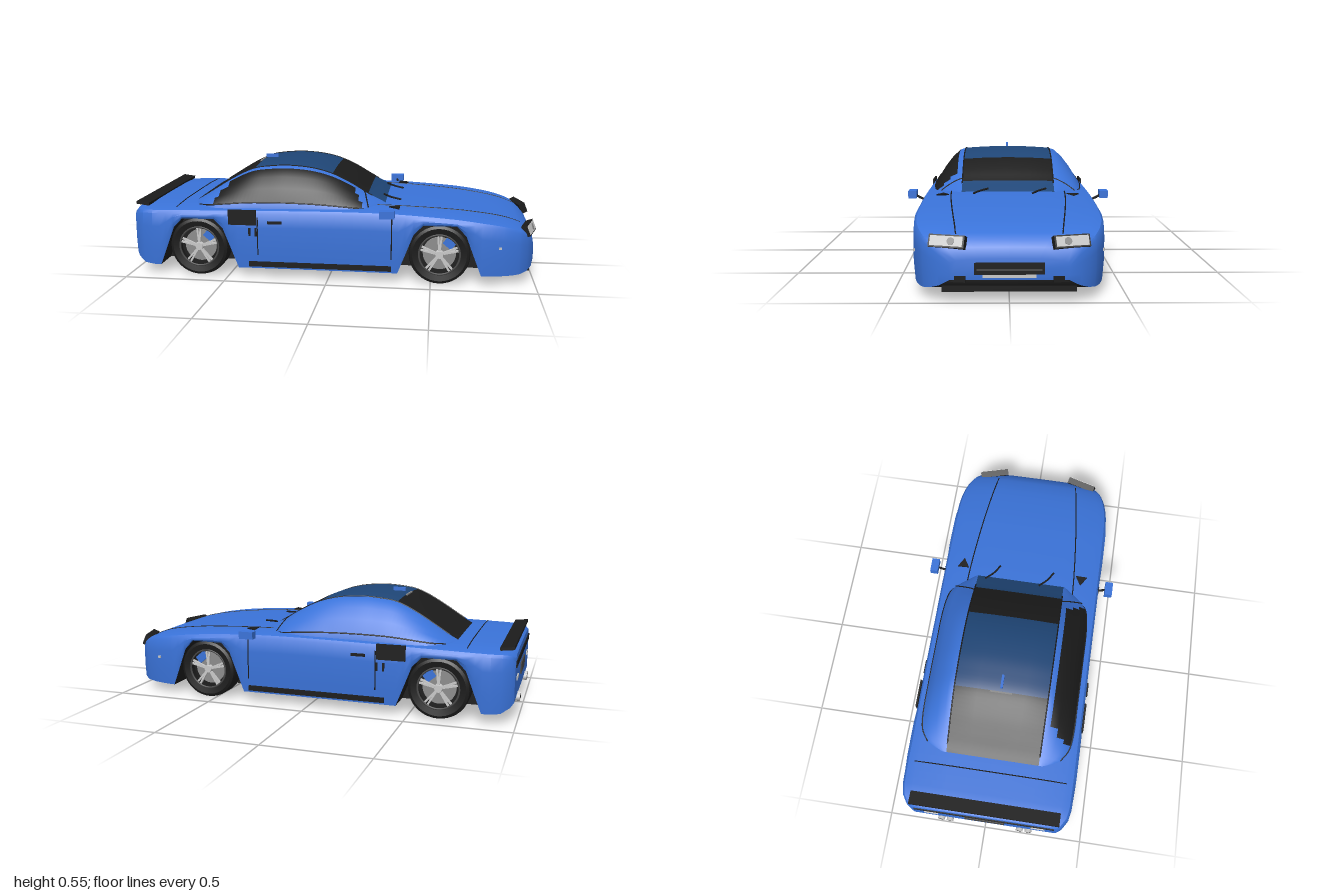
import * as THREE from 'three';
import { toCreasedNormals } from 'three/addons/utils/BufferGeometryUtils.js';

const mat = (name, color, side = THREE.FrontSide) => Object.assign(new THREE.MeshStandardMaterial({ color, side }), { name });

// Smooth interpolation of rows [x, v1, v2, ...] for column c
function at(rows, x, c) {
  const n = rows.length - 1;
  if (x <= rows[0][0]) return rows[0][c];
  if (x >= rows[n][0]) return rows[n][c];
  const i = rows.findIndex((r, k) => k < n && x <= rows[k + 1][0]);
  const slope = k => {
    const a = rows[Math.max(k - 1, 0)], b = rows[Math.min(k + 1, n)];
    return (b[c] - a[c]) / (b[0] - a[0]);
  };
  const h = rows[i + 1][0] - rows[i][0], t = (x - rows[i][0]) / h, u = 1 - t;
  return rows[i][c] * (1 + 2 * t) * u * u + slope(i) * h * t * u * u
    + rows[i + 1][c] * t * t * (3 - 2 * t) - slope(i + 1) * h * t * t * u;
}

function linear(pts, x) {
  for (let i = 0; i < pts.length - 1; i++) {
    const [a, p] = pts[i], [b, q] = pts[i + 1];
    if (x >= a && x <= b) return p + (q - p) * (x - a) / (b - a);
  }
  return null;
}

// Loft of closed rings along x; pick(x, j) gives the material index of a face
function loft(xs, ring, pick, materialCount, crease) {
  const pos = [], lists = Array.from({ length: materialCount }, () => []);
  const n = ring(xs[0]).length;
  for (const x of xs) for (const [z, y] of ring(x)) pos.push(x, y, z);
  for (let i = 0; i < xs.length - 1; i++) for (let j = 0; j < n; j++) {
    const k = (j + 1) % n, a = i * n + j, b = a + n, c = (i + 1) * n + k, d = i * n + k;
    lists[pick((xs[i] + xs[i + 1]) / 2, j)].push(a, b, c, a, c, d);
  }
  const e = (xs.length - 1) * n;
  for (let k = 1; k < n - 1; k++) lists[0].push(0, k, k + 1, e, e + k + 1, e + k);
  const g = new THREE.BufferGeometry();
  g.setAttribute('position', new THREE.Float32BufferAttribute(pos, 3));
  g.setIndex(lists.flat());
  let start = 0;
  lists.forEach((l, m) => { g.addGroup(start, l.length, m); start += l.length; });
  return toCreasedNormals(g, crease);
}

const mirrorRing = half => [...half, ...half.slice(0, -1).reverse().map(([z, y]) => [-z, y])];
const steps = (a, b, n) => Array.from({ length: n + 1 }, (_, i) => a + (b - a) * i / n);
const sorted = xs => [...new Set(xs.map(x => +x.toFixed(4)))].sort((a, b) => a - b);

// Body stations: x, half width, top height, lower edge
const BODY = [
  [-0.985, 0.37, 0.325, 0.1], [-0.97, 0.39, 0.338, 0.08], [-0.93, 0.415, 0.345, 0.055], [-0.88, 0.425, 0.346, 0.05],
  [-0.6, 0.427, 0.352, 0.05], [0, 0.425, 0.362, 0.05], [0.3, 0.425, 0.36, 0.05], [0.6, 0.425, 0.343, 0.05],
  [0.75, 0.42, 0.325, 0.05], [0.85, 0.4, 0.307, 0.05], [0.92, 0.37, 0.285, 0.052], [0.96, 0.335, 0.262, 0.06],
  [0.985, 0.295, 0.235, 0.075], [0.997, 0.25, 0.19, 0.1]];
const ARCH = [[-0.2, 0.05], [-0.165, 0.14], [-0.125, 0.245], [-0.08, 0.292], [0.08, 0.292], [0.125, 0.245], [0.165, 0.14], [0.2, 0.05]];
const AXLES = [-0.645, 0.54], WHEEL_Y = 0.15;

function bodyHalf(x) {
  const w = at(BODY, x, 1), t = at(BODY, x, 2);
  let yb = at(BODY, x, 3);
  for (const c of AXLES) yb = Math.max(yb, linear(ARCH, x - c) ?? 0);
  const s = t - 0.032, y = f => yb + (s - yb) * f;
  return [[0.985 * w, yb], [w, y(0.35)], [w, y(0.75)], [0.99 * w, s], [0.965 * w, t - 0.018], [0.87 * w, t - 0.008], [0.5 * w, t - 0.001], [0, t]];
}
const topY = (x, z) => linear(bodyHalf(x).slice(3).reverse(), Math.abs(z)) ?? at(BODY, x, 2);

// Cabin stations: x, half width at base, roof height
const CABIN = [
  [-0.7, 0.27, 0.35], [-0.66, 0.34, 0.373], [-0.6, 0.378, 0.413], [-0.5, 0.39, 0.477], [-0.4, 0.39, 0.526], [-0.3, 0.39, 0.542],
  [-0.22, 0.39, 0.546], [-0.1, 0.39, 0.535], [0, 0.39, 0.507], [0.1, 0.383, 0.457], [0.18, 0.36, 0.406], [0.23, 0.31, 0.38], [0.28, 0.245, 0.354]];
const SIDE = [[1, 0], [0.95, 0.17], [0.69, 0.485], [0.44, 0.73], [0.19, 0.9], [0, 0.95]];
const STRIP = 0.232, BASE = 0.34;
function cabinHalf(x) {
  const w = at(CABIN, x, 1), h = at(CABIN, x, 2) - BASE;
  return [...SIDE.map(([f, g]) => [STRIP + (w - STRIP) * f, BASE + h * g]), [0.12, BASE + h * 0.985], [0, BASE + h]];
}

export function createModel() {
  const car = new THREE.Group();
  car.name = 'sportsCar';
  const blue = mat('bodyBlue', 0x3a73d9), navy = mat('roofNavy', 0x1f4677), black = mat('trimBlack', 0x1c1c1c, THREE.DoubleSide);
  const silver = mat('silver', 0xc9c9c9), steel = mat('rimSteel', 0x8c8c8c), dark = mat('discGrey', 0x484848);

  const add = (name, geo, m, p = [0, 0, 0], r = [0, 0, 0], parent = car) => {
    const mesh = new THREE.Mesh(geo, m);
    mesh.name = name;
    mesh.position.set(...p);
    mesh.rotation.set(...r);
    parent.add(mesh);
    return mesh;
  };
  const box = (name, size, m, p, r, parent) => add(name, new THREE.BoxGeometry(...size), m, p, r, parent);
  const line = (name, pts, m = black, radius = 0.0035) => add(name, new THREE.TubeGeometry(
    new THREE.CatmullRomCurve3(pts.map(p => new THREE.Vector3(...p))), pts.length * 4, radius, 5), m);

  // Shell with wheel openings; its underside is black
  const bodyXs = sorted([...BODY.map(r => r[0]), ...steps(-0.4, 0.3, 8), ...steps(0.75, 0.96, 7),
    ...AXLES.flatMap(c => [...ARCH.map(a => c + a[0]), c])]);
  add('body', loft(bodyXs, x => mirrorRing(bodyHalf(x)), (x, j) => (j === 14 ? 1 : 0), 2, 0.6), [blue, black]);
  box('floor', [1.66, 0.24, 0.56], black, [-0.05, 0.17, 0]);

  // Cabin: glass and roof strip are faces of one loft
  const cabinXs = sorted([...steps(-0.7, 0.28, 49), -0.4, 0, 0.18]);
  const pick = (x, j) => {
    if (j >= 5 && j <= 8) return x < -0.4 || (x > 0 && x < 0.18) ? 2 : 1;
    return j >= 1 && j <= 3 && x > -0.62 + 0.03 * j && x < 0.19 - 0.025 * j ? 2 : 0;
  };
  add('cabin', loft(cabinXs, x => mirrorRing(cabinHalf(x)), pick, 3, 0.9), [blue, navy, black]);
  box('roofFin', [0.065, 0.018, 0.012], blue, [-0.355, 0.547, 0]);
  box('highBrakeLight', [0.008, 0.008, 0.11], steel, [-0.405, 0.525, 0]);

  for (const s of [1, -1]) {
    // Seams around the side windows, bonnet and doors
    for (const row of [1, 5]) line('windowSeam', steps(-0.66, 0.2, 16).map(x => {
      const [z, y] = cabinHalf(x)[row];
      return [x, y, z * s];
    }));
    line('windowFrontSeam', [1, 2, 3, 4, 5].map(i => {
      const x = 0.2 - 0.008 * i, [z, y] = cabinHalf(x)[i];
      return [x, y, z * s];
    }));
    line('bonnetSeam', steps(0.2, 0.93, 10).map(x => {
      const z = 0.285 - 0.1 * Math.max(0, x - 0.2) ** 1.5;
      return [x, topY(x, z), z * s];
    }), black, 0.003);
    line('doorSeam', [[-0.345, 0.12, s * 0.425], [-0.345, 0.22, s * 0.426], [-0.345, 0.31, s * 0.424]], black, 0.003);
    line('wingSeam', [[0.31, 0.12, s * 0.424], [0.31, 0.22, s * 0.425], [0.31, 0.32, s * 0.422]], black, 0.003);

    // Side fittings
    box('sill', [0.7, 0.025, 0.02], black, [-0.04, 0.073, s * 0.42]);
    box('sideVent', [0.14, 0.075, 0.009], black, [-0.42, 0.307, s * 0.426]);
    for (const x of [-0.385, -0.353]) box('ventSlot', [0.01, 0.04, 0.008], black, [x, 0.235, s * 0.426]);
    box('doorHandle', [0.07, 0.013, 0.012], black, [-0.26, 0.285, s * 0.426]);
    box('sideLamp', [0.014, 0.012, 0.01], silver, [0.825, 0.19, s * 0.407], [0, s * 0.25, 0]);
    add('bonnetVent', new THREE.CylinderGeometry(0.035, 0.035, 0.008, 3), black, [0.325, topY(0.325, 0.32) + 0.002, s * 0.32], [0, s * 0.5, 0]);

    // Mirrors
    line('mirrorStalk', [[0.29, 0.325, s * 0.41], [0.29, 0.335, s * 0.435], [0.29, 0.35, s * 0.46]], black, 0.006);
    box('mirror', [0.072, 0.036, 0.04], blue, [0.29, 0.354, s * 0.472]);

    // Front lamps
    const lamp = new THREE.Group();
    lamp.name = 'headlight';
    lamp.position.set(0.967, 0.254, s * 0.255);
    lamp.rotation.set(0, -s * 0.28, 0.4);
    car.add(lamp);
    box('headlightFrame', [0.034, 0.054, 0.156], black, [0, 0, 0], [0, 0, 0], lamp);
    box('headlightLens', [0.01, 0.042, 0.142], silver, [0.015, 0, 0], [0, 0, 0], lamp);
    add('headlightBulb', new THREE.CylinderGeometry(0.016, 0.016, 0.005, 20), steel, [0.019, 0, -s * 0.02], [0, 0, Math.PI / 2], lamp);
    box('fogLamp', [0.03, 0.026, 0.107], black, [0.981, 0.104, s * 0.232], [0, -s * 0.18, 0]);

    // Rear lamps and paired exhausts
    box('rearReflector', [0.008, 0.018, 0.07], silver, [-0.986, 0.2, s * 0.27]);
    for (const z of [0.18, 0.225]) {
      add('exhaust', new THREE.CylinderGeometry(0.018, 0.018, 0.07, 16), silver, [-0.965, 0.09, s * z], [0, 0, Math.PI / 2]);
      add('exhaustBore', new THREE.CircleGeometry(0.012, 16), black, [-1.0005, 0.09, s * z], [0, -Math.PI / 2, 0]);
    }
  }

  // Nose
  box('grille', [0.012, 0.05, 0.29], black, [0.994, 0.148, 0]);
  box('grilleBar', [0.004, 0.008, 0.27], dark, [0.999, 0.143, 0]);
  box('frontPlate', [0.01, 0.014, 0.22], silver, [0.995, 0.117, 0]);
  box('frontLip', [0.07, 0.028, 0.56], black, [0.945, 0.06, 0]);

  // Tail
  box('spoiler', [0.065, 0.014, 0.74], black, [-0.945, 0.35, 0], [0, 0, -0.12]);
  box('tailStrip', [0.01, 0.028, 0.7], black, [-0.985, 0.275, 0]);
  box('rearPlate', [0.01, 0.055, 0.2], dark, [-0.986, 0.2, 0]);
  line('bootSeam', steps(-0.38, 0.38, 8).map(z => [-0.765, topY(-0.765, z), z]), black, 0.003);

  // Wipers
  for (const z of [0.14, -0.15]) line('wiper', [[0.25, 0.374, z - 0.04], [0.29, 0.368, z], [0.34, 0.363, z + 0.03]], black, 0.005);

  // Wheels
  const profile = [[0.1, -0.05], [0.13, -0.057], [0.143, -0.05], [0.147, -0.035], [0.147, 0.035], [0.143, 0.05], [0.13, 0.057], [0.1, 0.05], [0.1, -0.05]];
  const tyre = toCreasedNormals(new THREE.LatheGeometry(profile.map(p => new THREE.Vector2(...p)), 40), 0.6);
  for (const x of AXLES) for (const s of [1, -1]) {
    const wheel = new THREE.Group();
    wheel.name = x > 0 ? 'frontWheel' : 'rearWheel';
    wheel.position.set(x, WHEEL_Y, s * 0.366);
    wheel.rotation.y = s > 0 ? 0 : Math.PI;
    car.add(wheel);
    const lying = [Math.PI / 2, 0, 0];
    add('tyre', tyre, black, [0, 0, 0], lying, wheel);
    add('wheelBack', new THREE.CylinderGeometry(0.102, 0.102, 0.05, 32), black, [0, 0, -0.015], lying, wheel);
    add('brakeDisc', new THREE.CylinderGeometry(0.08, 0.08, 0.016, 32), steel, [0, 0, 0.012], lying, wheel);
    box('brakeCaliper', [0.05, 0.04, 0.022], blue, [s * 0.047, 0.052, 0.02], [0, 0, -s * 0.7], wheel);
    add('rimEdge', new THREE.TorusGeometry(0.098, 0.005, 8, 40), dark, [0, 0, 0.049], [0, 0, 0], wheel);
    add('hub', new THREE.CylinderGeometry(0.018, 0.022, 0.02, 20), silver, [0, 0, 0.044], lying, wheel);
    for (let k = 0; k < 5; k++) for (const d of [-0.09, 0.09]) {
      const a = k * Math.PI * 0.4 + Math.PI / 2 + d;
      box('spoke', [0.085, 0.009, 0.012], silver, [Math.cos(a) * 0.055, Math.sin(a) * 0.055, 0.042], [0, 0, a], wheel);
    }
  }
  return car;
}
